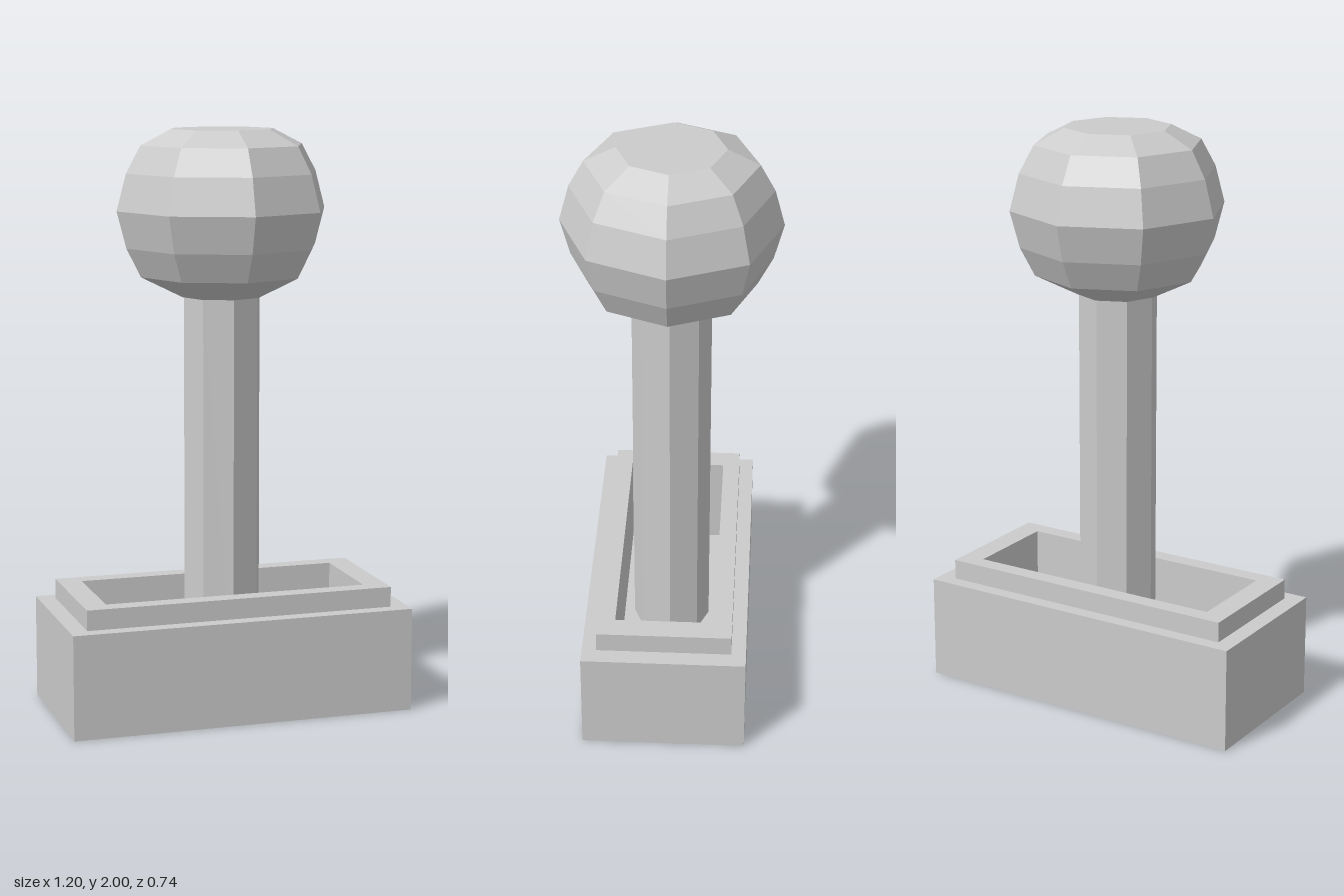
import * as THREE from 'three';

const grey = new THREE.MeshStandardMaterial({ color: 0xcccccc, flatShading: true });

function addPart(group, name, geometry) {
  const flat = geometry.index ? geometry.toNonIndexed() : geometry;
  flat.computeVertexNormals();
  const mesh = new THREE.Mesh(flat, grey);
  mesh.name = name;
  group.add(mesh);
}

// Eight-sided turned solid; profile is [radius, y] from bottom to top
function turned(profile) {
  return new THREE.LatheGeometry(profile.map(([r, y]) => new THREE.Vector2(r, y)), 8);
}

// Rectangular solid lofted through [halfWidth, halfDepth, y] sections, capped at both ends
function rectLoft(sections) {
  const corners = [[-1, 1], [1, 1], [1, -1], [-1, -1]];
  const positions = sections.flatMap(([w, d, y]) => corners.flatMap(([sx, sz]) => [sx * w, y, sz * d]));
  const index = [];
  for (let i = 0; i < sections.length - 1; i++) {
    for (let j = 0; j < 4; j++) {
      const a = i * 4 + j, b = i * 4 + (j + 1) % 4;
      index.push(a, b, a + 4, b, b + 4, a + 4);
    }
  }
  const last = (sections.length - 1) * 4;
  index.push(0, 2, 1, 0, 3, 2);
  index.push(last, last + 1, last + 2, last, last + 2, last + 3);
  const geometry = new THREE.BufferGeometry();
  geometry.setAttribute('position', new THREE.Float32BufferAttribute(positions, 3));
  geometry.setIndex(index);
  return geometry;
}

export function createModel() {
  const model = new THREE.Group();
  model.name = 'lever';
  const floorY = 0.1;

  // Block with a stepped rim and a recessed slot
  addPart(model, 'base', rectLoft([
    [0.6, 0.28, 0], [0.6, 0.28, 0.36],
    [0.54, 0.23, 0.36], [0.54, 0.23, 0.43],
    [0.46, 0.17, 0.43], [0.46, 0.17, floorY],
  ]));

  // Octagonal stick rising from the slot floor into the knob
  addPart(model, 'shaft', turned([[0.135, floorY], [0.135, 1.44]]));

  // Faceted ball with a flat top
  addPart(model, 'knob', turned([
    [0, 1.435], [0.14, 1.435], [0.285, 1.507], [0.335, 1.605], [0.368, 1.73],
    [0.335, 1.855], [0.285, 1.947], [0.18, 2], [0, 2],
  ]));

  return model;
}
